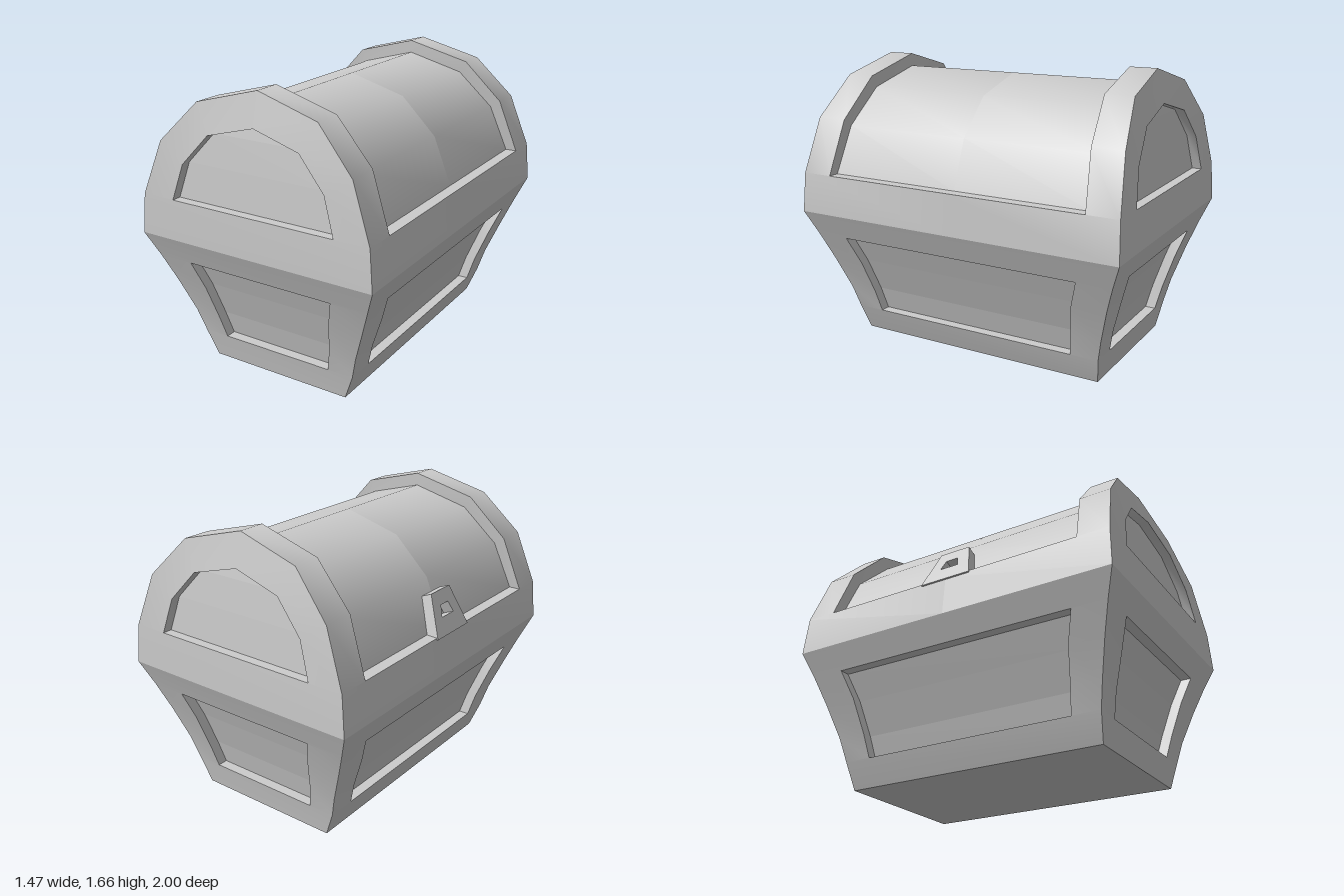
import * as THREE from 'three';
import { toCreasedNormals } from 'three/addons/utils/BufferGeometryUtils.js';

const material = new THREE.MeshStandardMaterial({ color: 0xcccccc });
const flatMaterial = new THREE.MeshStandardMaterial({ color: 0xcccccc, flatShading: true });

// Collects four-cornered faces (counter-clockwise from outside) into one mesh
class Surface {
  constructor() { this.points = []; }
  tri(a, b, c) {
    const same = (p, q) => p.every((v, i) => v === q[i]);
    if (!same(a, b) && !same(b, c) && !same(a, c)) this.points.push(...a, ...b, ...c);
  }
  quad(a, b, c, d) { this.tri(a, b, c); this.tri(a, c, d); }
  strip(a, b, closed = false) {
    const n = a.length;
    for (let i = 0; i < (closed ? n : n - 1); i++) {
      const j = (i + 1) % n;
      this.quad(a[i], a[j], b[j], b[i]);
    }
  }
  // Rows spanning from -x to +x between successive half-profile points
  rows(half) {
    this.strip(half.map(flip).reverse(), half.slice().reverse());
  }
  mesh(name, mat = material) {
    const geo = new THREE.BufferGeometry();
    geo.setAttribute('position', new THREE.Float32BufferAttribute(this.points, 3));
    const mesh = new THREE.Mesh(toCreasedNormals(geo, 0.7), mat);
    mesh.name = name;
    return mesh;
  }
}

const flip = ([x, y, z]) => [-x, y, z];
// Half profile going up on +x, continued down on -x
const loop = half => [...half, ...half.slice().reverse().filter(p => p[0] !== 0).map(flip)];
const atZ = (pts, z) => pts.map(p => [p[0], p[1], z]);

// Recessed panel: reveal and floor behind the opening given by a half profile
function recess(half, depth, name) {
  const back = half.map(([x, y, z]) => [x, y, z - depth]);
  const reveal = new Surface();
  reveal.strip(loop(half), loop(back), true);
  const floor = new Surface();
  floor.rows(back);
  return [reveal.mesh(name + 'Reveal'), floor.mesh(name + 'Floor', flatMaterial)];
}

// Tapered base: heights, half width, half length, and half widths of the panels
const Y = [0, 0.155, 0.29, 0.485, 0.645, 0.79];
const X = [0.44, 0.5, 0.538, 0.612, 0.675, 0.735];
const Z = [0.775, 0.8, 0.83, 0.888, 0.943, 1];
const endPanel = [0.345, 0.375, 0.41, 0.457];
const sidePanel = [0.635, 0.655, 0.687, 0.74];

function baseWall(name, width, dist, panel) {
  const wall = new THREE.Group();
  wall.name = name;
  const outer = Y.map((y, i) => [width[i], y, dist[i]]);
  const inner = panel.map((w, i) => [w, Y[i + 1], dist[i + 1]]);
  const frame = new Surface();
  frame.rows(outer.slice(0, 2));
  frame.rows(outer.slice(4));
  const mid = outer.slice(1, 5);
  frame.strip(mid, inner);
  frame.strip(inner.map(flip), mid.map(flip));
  wall.add(frame.mesh(name + 'Frame'), ...recess(inner, 0.06, name + 'Panel'));
  return wall;
}

// Lid: outer arch with the bowed end, inner edge of the end bands, sunken barrel
const arch = [[0.715, 1.02, 0.99], [0.6, 1.33, 0.957], [0.375, 1.56, 0.906], [0, 1.66, 0.88]];
const bandEdge = [0.805, 0.775, 0.74, 0.72];
const barrelArch = [[0.648, 1.02], [0.54, 1.29], [0.335, 1.492], [0, 1.585]];
const lidPanel = [[0.51, 1.02, 0.99], [0.445, 1.225, 0.968], [0.285, 1.4, 0.942], [0, 1.475, 0.925]];
const rim = [0.735, 0.79, 1];

function lidHalf() {
  const half = new THREE.Group();
  half.name = 'lidHalf';

  // End face around its panel
  const face = new Surface();
  face.rows([rim, arch[0]]);
  face.strip(loop(arch), loop(lidPanel));
  half.add(face.mesh('lidEnd'), ...recess(lidPanel, 0.055, 'lidEndPanel'));

  // Raised band, side rails and the inner step down to the barrel
  const bandInner = loop(arch.map(([x, y], i) => [x, y, bandEdge[i]]));
  const barrelEnd = loop(barrelArch.map(([x, y], i) => [x, y, bandEdge[i]]));
  const band = new Surface();
  band.strip(bandInner, loop(arch));
  band.strip(barrelEnd, bandInner);
  const rail = [rim, arch[0]];
  band.strip(atZ(rail, 0), rail);
  band.strip(atZ(rail, 0).map(flip).reverse(), rail.map(flip).reverse());
  const [q, p] = [barrelEnd[0], bandInner[0]];
  const [q0, p0] = atZ([q, p], 0);
  band.quad(q0, q, p, p0);
  band.quad(flip(p0), flip(p), flip(q), flip(q0));
  half.add(band.mesh('lidBand'));

  const barrel = new Surface();
  barrel.strip(atZ(barrelEnd, 0), barrelEnd);
  half.add(barrel.mesh('lidBarrel'));
  return half;
}

// Sloping trapezoid plate with a keyhole, on the -x side
function latch() {
  const trapezoid = (Type, y0, w0, y1, w1) => new Type(
    [[-w0, y0], [w0, y0], [w1, y1], [-w1, y1]].map(p => new THREE.Vector2(...p)));
  const plate = trapezoid(THREE.Shape, -0.01, 0.157, 0.233, 0.093);
  plate.holes.push(trapezoid(THREE.Path, 0.09, 0.058, 0.155, 0.036));
  const geo = new THREE.ExtrudeGeometry(plate, { depth: 0.066, bevelEnabled: false });
  geo.translate(0, 0, -0.066);
  const across = new THREE.Vector3(0, 0, 1);
  const up = new THREE.Vector3(0.09, 0.215, 0).normalize();
  const out = across.clone().cross(up);
  geo.applyMatrix4(new THREE.Matrix4().makeBasis(across, up, out).setPosition(-0.72, 1.02, 0));
  const mesh = new THREE.Mesh(geo, flatMaterial);
  mesh.name = 'latch';
  return mesh;
}

export function createModel() {
  const model = new THREE.Group();
  model.name = 'chest';

  for (let k = 0; k < 4; k++) {
    const wall = k % 2 ? baseWall('baseSide', Z, X, sidePanel) : baseWall('baseEnd', X, Z, endPanel);
    wall.rotation.y = k * Math.PI / 2;
    model.add(wall);
  }
  const bottom = new Surface();
  const [x, z] = [X[0], Z[0]];
  bottom.quad([-x, 0, -z], [x, 0, -z], [x, 0, z], [-x, 0, z]);
  model.add(bottom.mesh('bottom'));

  for (const angle of [0, Math.PI]) {
    const half = lidHalf();
    half.rotation.y = angle;
    model.add(half);
  }
  model.add(latch());
  return model;
}
